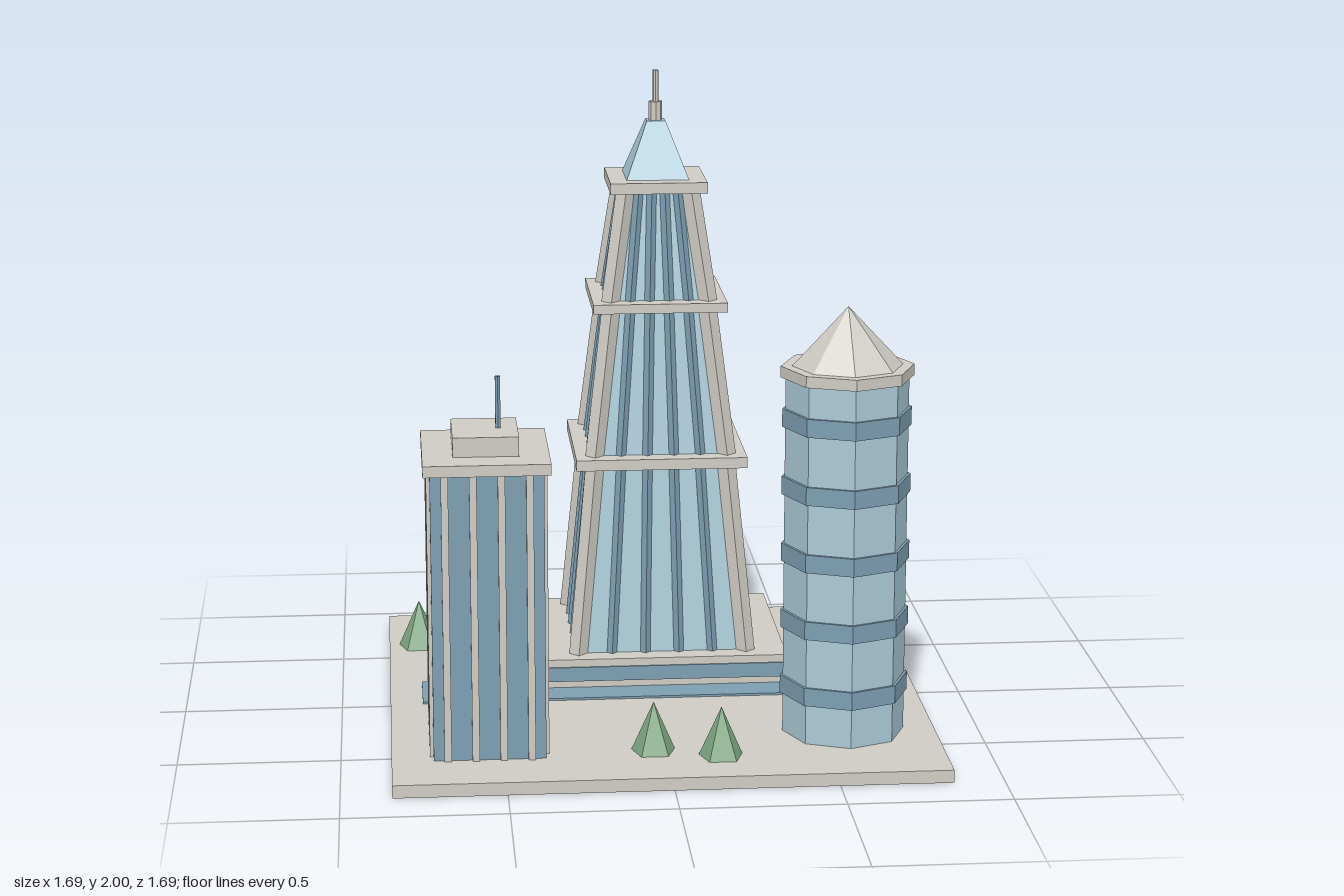
import * as THREE from 'three';

const mat = (name, color) => {
  const m = new THREE.MeshStandardMaterial({ color, flatShading: true });
  m.name = name;
  return m;
};

export function createModel() {
  const stone = mat('pale stone', 0xcfccc4);
  const glass = mat('light glass', 0xabcbd8);
  const blue = mat('blue glass', 0x7d9fb2);
  const green = mat('tree green', 0x7fa882);
  const model = new THREE.Group();
  model.name = 'cityBlock';

  const group = (name, x, z) => {
    const g = new THREE.Group();
    g.name = name;
    g.position.set(x, 0, z);
    model.add(g);
    return g;
  };
  const add = (parent, name, geo, material, x = 0, y = 0, z = 0) => {
    const m = new THREE.Mesh(geo, material);
    m.name = name;
    m.position.set(x, y, z);
    parent.add(m);
    return m;
  };
  // Box given by its width, depth and height range
  const slab = (parent, name, w, d, y0, y1, material, x = 0, z = 0) =>
    add(parent, name, new THREE.BoxGeometry(w, y1 - y0, d), material, x, (y0 + y1) / 2, z);
  // Prism or cone standing between two heights
  const prism = (parent, name, r0, r1, y0, y1, sides, material) =>
    add(parent, name, new THREE.CylinderGeometry(r1, r0, y1 - y0, sides), material, 0, (y0 + y1) / 2, 0);
  // Square frustum given by half widths
  const frustum = (parent, name, h0, h1, y0, y1, material) => {
    prism(parent, name, h0 * Math.SQRT2, h1 * Math.SQRT2, y0, y1, 4, material).rotation.y = Math.PI / 4;
  };
  // Diamond-section post leaning from one point to another, ends kept level
  const post = (parent, name, r, x0, z0, x1, z1, y0, y1, material) => {
    const geo = new THREE.CylinderGeometry(r, r, y1 - y0, 4);
    const p = geo.attributes.position;
    for (let i = 0; i < p.count; i++) {
      const top = p.getY(i) > 0;
      p.setX(i, p.getX(i) + (top ? x1 : x0));
      p.setZ(i, p.getZ(i) + (top ? z1 : z0));
    }
    add(parent, name, geo, material, 0, (y0 + y1) / 2, 0);
  };

  // Ground plate and pool
  const ground = group('ground', 0, 0);
  slab(ground, 'basePlate', 1.69, 1.69, 0, 0.04, stone);
  slab(ground, 'pool', 1.485, 0.205, 0.04, 0.047, blue);

  // Main tower: podium
  const tower = group('mainTower', 0.037, -0.345);
  slab(tower, 'podiumBase', 0.8, 0.68, 0.04, 0.068, stone);
  slab(tower, 'podiumWindows', 0.81, 0.69, 0.068, 0.115, blue);
  slab(tower, 'podiumTop', 0.8, 0.68, 0.115, 0.14, stone);

  // Three tapering stages: bottom and top half width, heights, ledge half width
  const stages = [
    [0.272, 0.213, 0.14, 0.75, 0.785, 0.275],
    [0.213, 0.156, 0.785, 1.25, 1.28, 0.215],
    [0.156, 0.105, 1.28, 1.625, 1.66, 0.155],
  ];
  for (const [h0, h1, y0, y1, y2, ledge] of stages) {
    frustum(tower, 'stageGlass', h0, h1, y0, y1, glass);
    slab(tower, 'stageLedge', ledge * 2, ledge * 2, y1, y2, stone);
    for (const sx of [-1, 1]) {
      for (const sz of [-1, 1]) {
        post(tower, 'cornerColumn', 0.03, sx * h0, sz * h0, sx * h1, sz * h1, y0, y1, stone);
      }
      // Vertical fins on each face
      for (const t of [-0.6, -0.2, 0.2, 0.6]) {
        post(tower, 'windowFin', 0.016, t * h0, sx * h0, t * h1, sx * h1, y0, y1, blue);
        post(tower, 'windowFin', 0.016, sx * h0, t * h0, sx * h1, t * h1, y0, y1, blue);
      }
    }
  }

  // Crown and spire
  frustum(tower, 'crown', 0.1, 0.03, 1.66, 1.84, glass);
  prism(tower, 'spireBase', 0.022, 0.022, 1.84, 1.9, 8, stone);
  prism(tower, 'spire', 0.01, 0.01, 1.9, 2, 8, stone);

  // Eight-sided tower with bands and a pointed roof
  const octagon = group('octagonTower', 0.56, 0.44);
  prism(octagon, 'shaft', 0.19, 0.19, 0.04, 1.17, 8, glass);
  for (let i = 0; i < 5; i++) {
    const y = 0.165 + i * 0.2125;
    prism(octagon, 'band', 0.199, 0.199, y, y + 0.057, 8, blue);
  }
  prism(octagon, 'roofRim', 0.205, 0.205, 1.17, 1.205, 8, stone);
  prism(octagon, 'roofCone', 0.17, 0, 1.205, 1.387, 8, stone);

  // Office block with stone mullions
  const office = group('officeBlock', -0.546, 0.44);
  slab(office, 'officeBody', 0.342, 0.4, 0.04, 0.935, blue);
  for (const s of [-1, 1]) {
    for (const t of [-1.5, -0.5, 0.5, 1.5]) {
      slab(office, 'mullion', 0.022, 0.024, 0.04, 0.935, stone, t * 0.085, s * 0.2);
      slab(office, 'mullion', 0.024, 0.022, 0.04, 0.935, stone, s * 0.17, t * 0.1);
    }
  }
  slab(office, 'officeRoof', 0.384, 0.442, 0.935, 0.97, stone);
  slab(office, 'penthouse', 0.2, 0.24, 0.97, 1.03, stone);
  prism(office, 'roofMast', 0.009, 0.009, 1.03, 1.19, 6, blue).position.x = 0.041;

  // Trees
  const spots = [[-0.665, -0.725], [0.74, -0.725], [-0.745, -0.505], [-0.045, 0.6], [0.157, 0.662]];
  for (const [x, z] of spots) {
    prism(group('tree', x, z), 'treeCone', 0.07, 0, 0.04, 0.198, 5, green).rotation.y = Math.PI;
  }
  return model;
}
